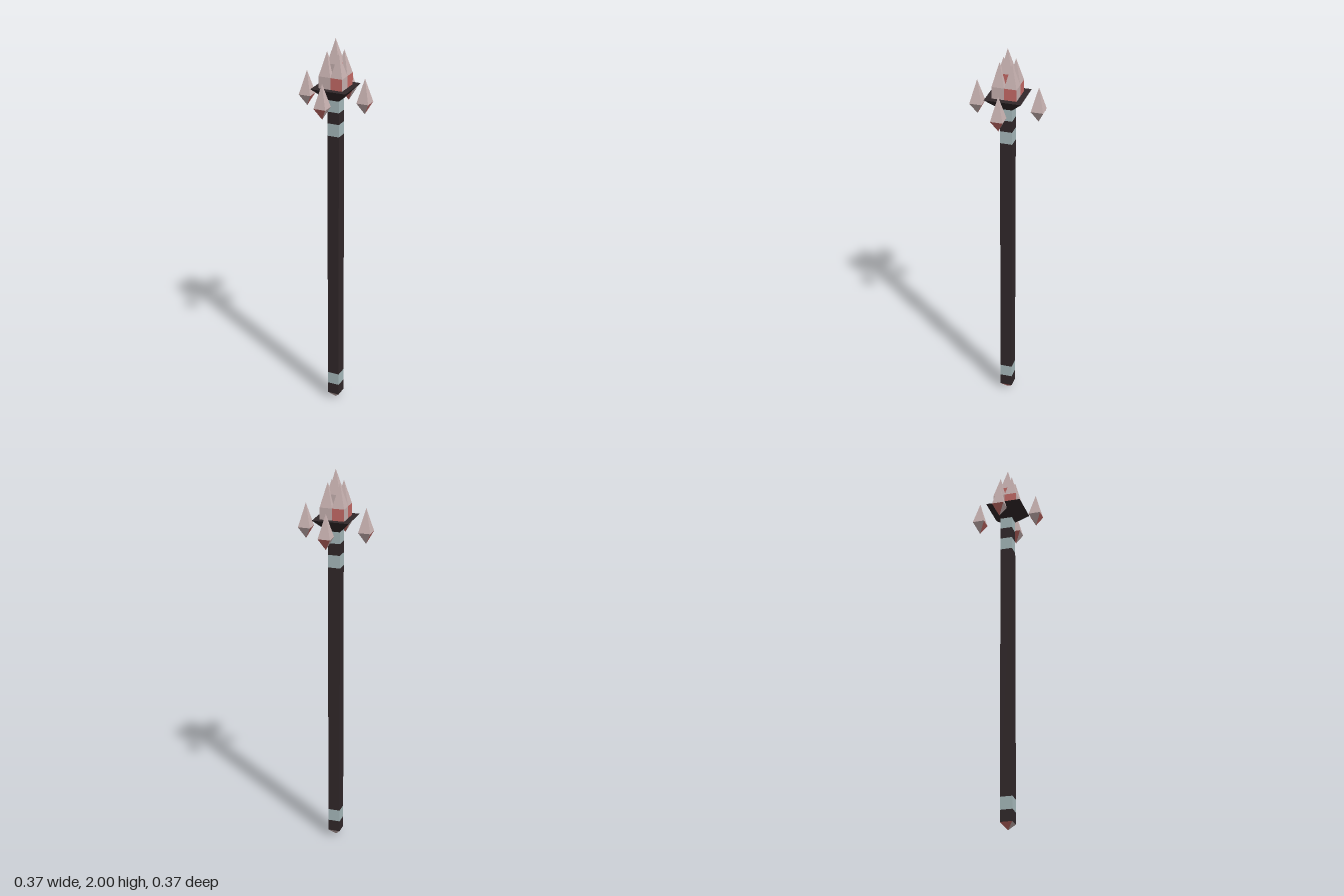
import * as THREE from 'three';

const material = (name, color) => {
  const m = new THREE.MeshStandardMaterial({ color });
  m.name = name;
  return m;
};

// Four-sided tapered block from half-width h0 at y0 to h1 at y1.
// Group 0 holds the faces toward +-z and the caps, group 1 the faces toward +-x.
function taperedBlock(y0, h0, y1, h1) {
  const ring = (h, y) => [[-h, y, h], [h, y, h], [h, y, -h], [-h, y, -h]];
  const low = ring(h0, y0), high = ring(h1, y1);
  const parts = [[], []];
  const quad = (list, a, b, c, d) => {
    if (h0 > 0) list.push(...a, ...b, ...c);
    if (h1 > 0) list.push(...(h0 > 0 ? a : b), ...c, ...d);
  };
  for (let i = 0; i < 4; i++) {
    const j = (i + 1) % 4;
    if (h0 > 0) parts[i % 2].push(...low[i], ...low[j], ...high[j]);
    if (h1 > 0) parts[i % 2].push(...low[i], ...high[j], ...high[i]);
  }
  if (h0 > 0) quad(parts[0], low[3], low[2], low[1], low[0]);
  if (h1 > 0) quad(parts[0], high[0], high[1], high[2], high[3]);

  const geo = new THREE.BufferGeometry();
  geo.setAttribute('position', new THREE.Float32BufferAttribute(parts.flat(), 3));
  geo.addGroup(0, parts[0].length / 3, 0);
  geo.addGroup(parts[0].length / 3, parts[1].length / 3, 1);
  geo.computeVertexNormals();
  return geo;
}

export function createModel() {
  const staff = new THREE.Group();
  staff.name = 'crystalStaff';

  const wood = material('darkWood', 0x31282a);
  const metal = material('paleMetal', 0xa9bcbe);
  const crystal = material('paleCrystal', 0xc9b3b2);
  const red = material('redCrystal', 0xc86c68);
  wood.flatShading = metal.flatShading = crystal.flatShading = red.flatShading = true;

  const W = 0.031;
  const add = (parent, name, geo, front, side = front) => {
    const mesh = new THREE.Mesh(geo, [front, side]);
    mesh.name = name;
    parent.add(mesh);
    return mesh;
  };

  // Shaft sections and metal bands, bottom to top
  const levels = [0.035, 0.095, 0.16, 1.51, 1.575, 1.635, 1.7];
  for (let i = 0; i < levels.length - 1; i++) {
    const band = i % 2 === 1;
    add(staff, band ? 'shaftBand' : 'shaft',
      taperedBlock(levels[i], W, levels[i + 1], W), band ? metal : wood);
  }

  // Pointed foot
  add(staff, 'footTip', taperedBlock(0, 0, 0.035, W), crystal, red);

  // Flared head plate
  add(staff, 'flaredHead', taperedBlock(1.695, W, 1.76, 0.092), wood);

  // Central crystal: straight body and long point
  add(staff, 'centreCrystalBody', taperedBlock(1.76, W, 1.88, W), crystal, red);
  add(staff, 'centreCrystalPoint', taperedBlock(1.88, W, 2, 0), crystal);

  for (let i = 0; i < 4; i++) {
    const quarter = new THREE.Group();
    quarter.name = 'crystalQuarter';
    quarter.rotation.y = i * Math.PI / 2;
    staff.add(quarter);

    // Corner crystal, red on the front and back of its body
    const corner = new THREE.Group();
    corner.name = 'cornerCrystal';
    corner.position.set(W, 0, W);
    add(corner, 'cornerBody', taperedBlock(1.76, W, 1.82, W), red, crystal);
    add(corner, 'cornerPoint', taperedBlock(1.82, W, 1.94, 0), crystal);

    // Floating crystal, red on the inner and outer lower faces
    const floating = new THREE.Group();
    floating.name = 'floatingCrystal';
    floating.position.z = 0.154;
    add(floating, 'floatingLower', taperedBlock(1.64, 0, 1.7, W), red, crystal);
    add(floating, 'floatingPoint', taperedBlock(1.7, W, 1.82, 0), crystal);

    quarter.add(corner, floating);
  }
  return staff;
}
